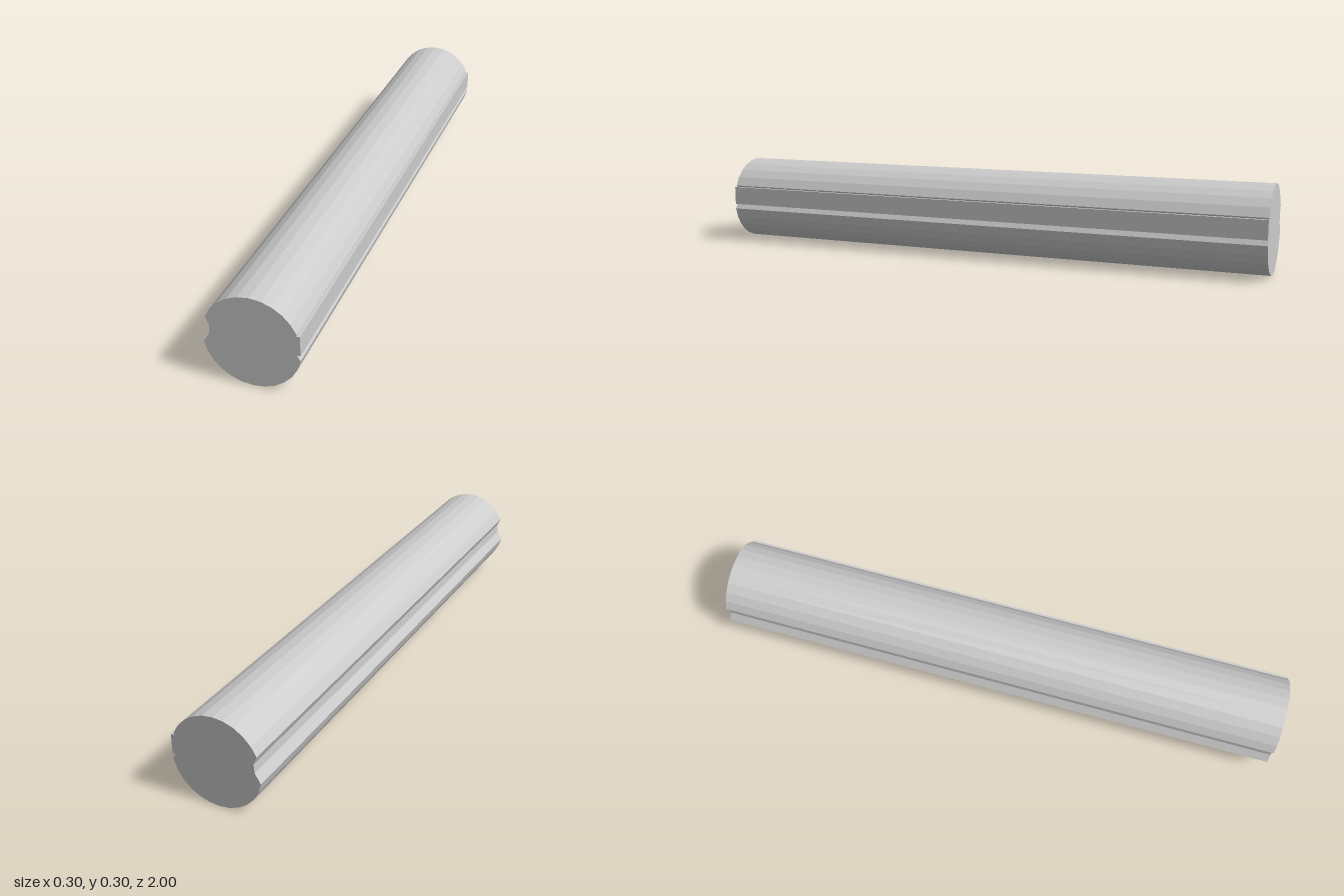
import * as THREE from 'three';

export function createModel() {
  const group = new THREE.Group();
  const material = new THREE.MeshStandardMaterial({ color: 0xcccccc, flatShading: true });
  const R = 0.1515, LENGTH = 2;

  // Faceted arc around the rod axis, angles in degrees
  const arc = (from, to, steps) => Array.from({ length: steps + 1 }, (_, i) => {
    const a = THREE.MathUtils.degToRad(from + (to - from) * i / steps);
    return new THREE.Vector2(R * Math.cos(a), R + R * Math.sin(a));
  });

  // Round section with a shallow groove down each side
  const section = [
    ...arc(23, 157, 10),
    new THREE.Vector2(-0.128, 0.184),
    new THREE.Vector2(-0.13, 0.154),
    ...arc(191, 349, 12),
    new THREE.Vector2(0.13, 0.154),
    new THREE.Vector2(0.128, 0.184),
  ];
  const rodGeometry = new THREE.ExtrudeGeometry(new THREE.Shape(section), { depth: LENGTH, bevelEnabled: false });
  rodGeometry.translate(0, 0, -LENGTH / 2);
  const rod = new THREE.Mesh(rodGeometry, material);
  rod.name = 'groovedRod';
  group.add(rod);

  // Rectangular key seated in the left groove
  const key = new THREE.Mesh(new THREE.BoxGeometry(0.025, 0.065, LENGTH), material);
  key.position.set(0.1365, 0.173, 0);
  key.name = 'keyStrip';
  group.add(key);

  return group;
}
